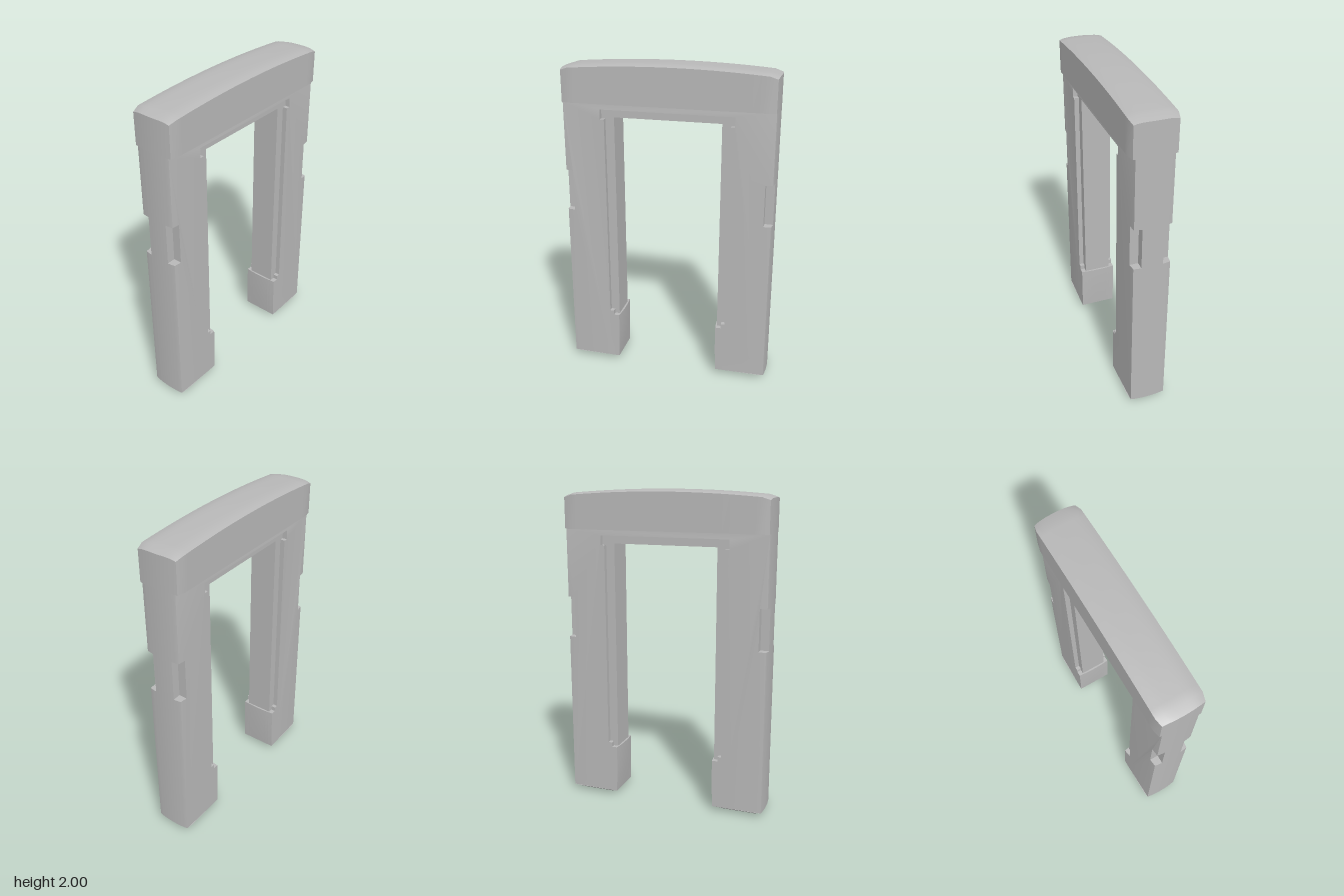
import * as THREE from 'three';
import { toCreasedNormals } from 'three/addons/utils/BufferGeometryUtils.js';

const HALF_X = 0.645, BODY_Z = 0.117, NOTCH_Z = 0.065, RECESS_Z = 0.087, LINTEL_Y = 1.755;

// Front outline of the doorway; later layers cut the side notches and the inner recess
function outline(notched, recessed) {
  const outer = [[HALF_X, LINTEL_Y]];
  if (notched) outer.push([HALF_X, 1.325], [0.6, 1.325], [0.6, 1.065], [HALF_X, 1.065]);
  const foot = [[HALF_X, 0.03], [0.6, 0], [0.385, 0], [0.33, 0.03], [0.325, 0.2]];
  const inner = recessed
    ? [[0.325, 0.34], [0.36, 0.34], [0.36, 0.37], [0.385, 0.37], [0.385, 1.66], [0.41, 1.66], [0.41, 1.72]]
    : [[0.325, 0.34], [0.33, 0.34], [0.33, 1.67]];
  const half = [...outer, ...foot, ...inner];
  const mirrored = half.map(([x, y]) => [-x, y]).reverse();
  return new THREE.Shape([...half, ...mirrored].map(([x, y]) => new THREE.Vector2(x, y)));
}

// Worn stone: bulging sides, bevelled feet, front faces falling back at the outer corners
function soften(geo) {
  const p = geo.attributes.position;
  for (let i = 0; i < p.count; i++) {
    let x = p.getX(i), y = p.getY(i), z = p.getZ(i);
    const side = Math.sign(x), ax = Math.abs(x), az = Math.abs(z);
    const bulge = 1 - (az / BODY_Z) ** 2;
    if (ax > 0.62) x += side * 0.01 * bulge;
    if (ax < 0.328 && y < 0.35) x -= side * 0.007 * bulge;
    if (y < 0.04 && az > NOTCH_Z) y += (0.03 - y) * (az - NOTCH_Z) / (BODY_Z - NOTCH_Z);
    if (ax > 0.62 && az > BODY_Z - 0.001) z = Math.sign(z) * 0.111;
    p.setXYZ(i, x, y, z);
  }
  return toCreasedNormals(geo, 0.3);
}

function layer(shape, z0, z1, steps) {
  const geo = new THREE.ExtrudeGeometry(shape, { depth: z1 - z0, steps, bevelEnabled: false });
  return soften(geo.translate(0, 0, z0));
}

// Lintel block with a crowned top, bowed ends and eased plan corners
function lintelGeometry() {
  const geo = new THREE.BoxGeometry(2, 1, 2, 28, 1, 12);
  const p = geo.attributes.position;
  for (let i = 0; i < p.count; i++) {
    const u = p.getX(i), w = p.getZ(i);
    const end = Math.max(0, (Math.abs(u) - 13 / 14) * 14);
    const x = u * HALF_X + Math.sign(u) * end * 0.01 * (1 - w * w);
    const z = w * (0.136 - 0.011 * end);
    const top = 2 - 0.025 * (x / 0.6) ** 2 - 0.012 * end - 0.013 * w ** 4;
    p.setXYZ(i, x, p.getY(i) > 0 ? top : LINTEL_Y, z);
  }
  geo.computeVertexNormals();
  return geo;
}

export function createModel() {
  const stone = new THREE.MeshStandardMaterial({ color: 0xb8b8b8 });
  stone.name = 'grey stone';
  const group = new THREE.Group();
  group.name = 'stoneDoorway';
  const add = (name, geo) => {
    const mesh = new THREE.Mesh(geo, stone);
    mesh.name = name;
    group.add(mesh);
  };

  // Doorway body, built up in layers from the middle to both faces
  add('doorwayCore', layer(outline(false, false), -NOTCH_Z, NOTCH_Z, 8));
  const notched = outline(true, false), face = outline(true, true);
  add('frontNotchedLayer', layer(notched, NOTCH_Z, RECESS_Z, 1));
  add('backNotchedLayer', layer(notched, -RECESS_Z, -NOTCH_Z, 1));
  add('frontRecessedFace', layer(face, RECESS_Z, BODY_Z, 2));
  add('backRecessedFace', layer(face, -BODY_Z, -RECESS_Z, 2));

  // Overhanging top block
  add('lintel', lintelGeometry());
  return group;
}
